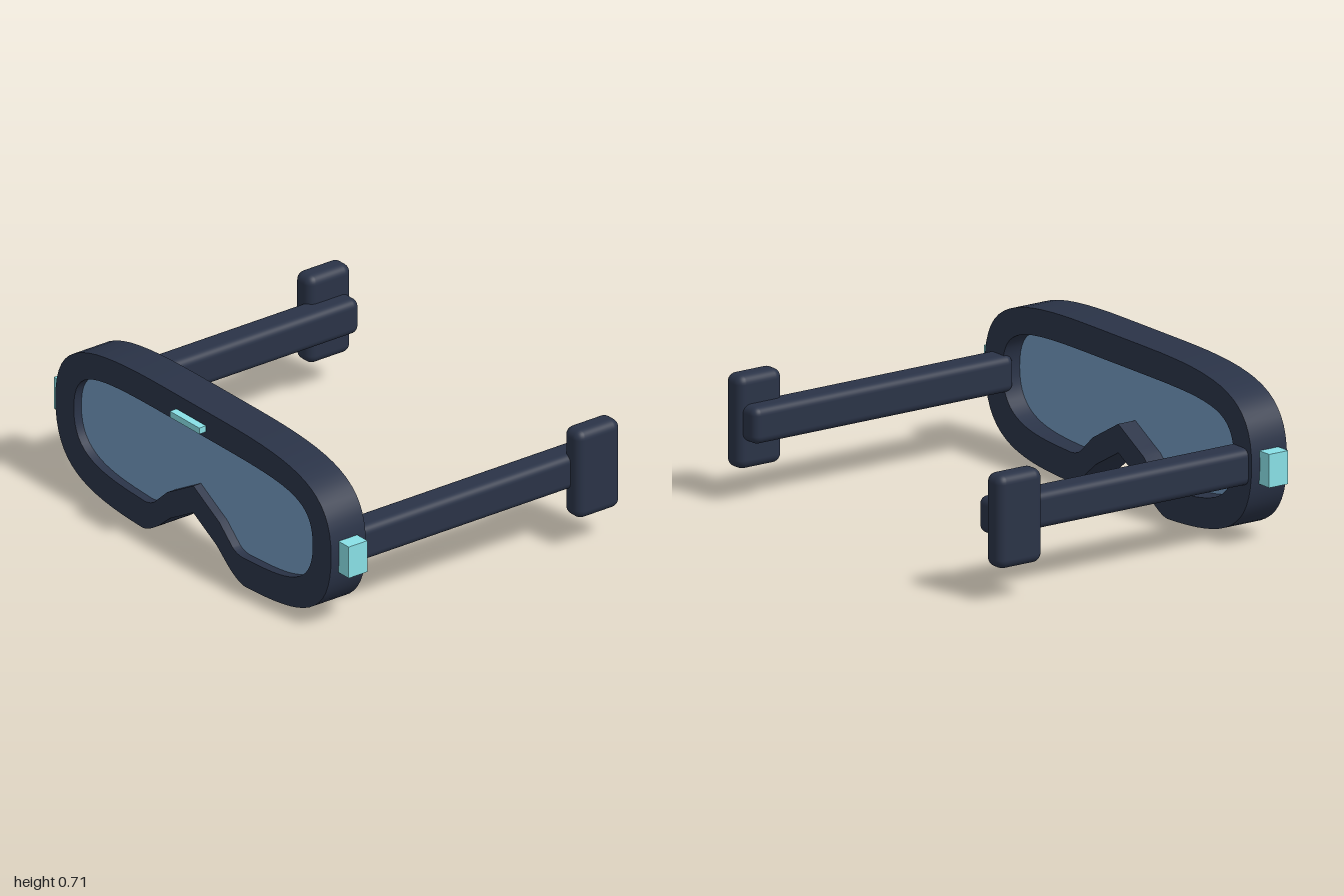
import * as THREE from 'three';
import { RoundedBoxGeometry } from 'three/addons/geometries/RoundedBoxGeometry.js';
import { toCreasedNormals } from 'three/addons/utils/BufferGeometryUtils.js';

const dark = new THREE.MeshStandardMaterial({ color: 0x2a3347 });
const glass = new THREE.MeshStandardMaterial({ color: 0x7096bc });
const teal = new THREE.MeshStandardMaterial({ color: 0x88e0e6 });

// Closed counter-clockwise outline, mirrored about x = 0, from one half running top to nose
function outline(Target, half) {
  const pts = half.getPoints(16);
  const mirrored = pts.map(p => new THREE.Vector2(-p.x, p.y));
  return new Target(mirrored.concat(pts.slice(0, -1).reverse()));
}

function outerHalf() {
  const p = new THREE.Path();
  p.moveTo(0.2, 0.71);
  p.bezierCurveTo(0.72, 0.71, 0.935, 0.66, 0.935, 0.37);
  p.bezierCurveTo(0.935, 0.07, 0.74, 0.012, 0.35, 0);
  p.quadraticCurveTo(0.305, 0, 0.23, 0.056);
  p.lineTo(0.16, 0.115);
  p.lineTo(0, 0.205);
  return p;
}

function innerHalf() {
  const p = new THREE.Path();
  p.moveTo(0.2, 0.587);
  p.bezierCurveTo(0.67, 0.587, 0.81, 0.573, 0.81, 0.37);
  p.bezierCurveTo(0.81, 0.16, 0.62, 0.14, 0.35, 0.13);
  p.quadraticCurveTo(0.3, 0.125, 0.265, 0.15);
  p.lineTo(0.176, 0.231);
  p.lineTo(0.134, 0.254);
  p.lineTo(0, 0.33);
  return p;
}

function extrude(shape, z0, z1) {
  const g = new THREE.ExtrudeGeometry(shape, { depth: z1 - z0, bevelEnabled: false });
  g.translate(0, 0, z0);
  return toCreasedNormals(g, 0.45);
}

export function createModel() {
  const model = new THREE.Group();
  const add = (name, geometry, material, x = 0, y = 0, z = 0) => {
    const mesh = new THREE.Mesh(geometry, material);
    mesh.name = name;
    mesh.position.set(x, y, z);
    model.add(mesh);
  };

  // Front frame with the lens opening
  const frame = outline(THREE.Shape, outerHalf());
  frame.holes.push(outline(THREE.Path, innerHalf()));
  add('frame', extrude(frame, 0.547, 0.73), dark);

  // Lens set back from the front face
  add('lens', extrude(outline(THREE.Shape, innerHalf()), 0.635, 0.69), glass);

  // Light bar floating just ahead of the brow
  add('browLight', new THREE.BoxGeometry(0.2, 0.028, 0.036), teal, 0, 0.638, 0.758);

  // Arms, ear pads and side buttons
  for (const [side, s] of [['left', 1], ['right', -1]]) {
    add(side + 'Arm', new RoundedBoxGeometry(0.134, 0.16, 1.345, 4, 0.035), dark, s * 0.845, 0.355, -0.083);
    add(side + 'EarPad', new RoundedBoxGeometry(0.11, 0.408, 0.229, 4, 0.04), dark, s * 0.912, 0.355, -0.662);
    add(side + 'Button', new THREE.BoxGeometry(0.07, 0.145, 0.098), teal, s * 0.965, 0.355, 0.639);
  }
  return model;
}
